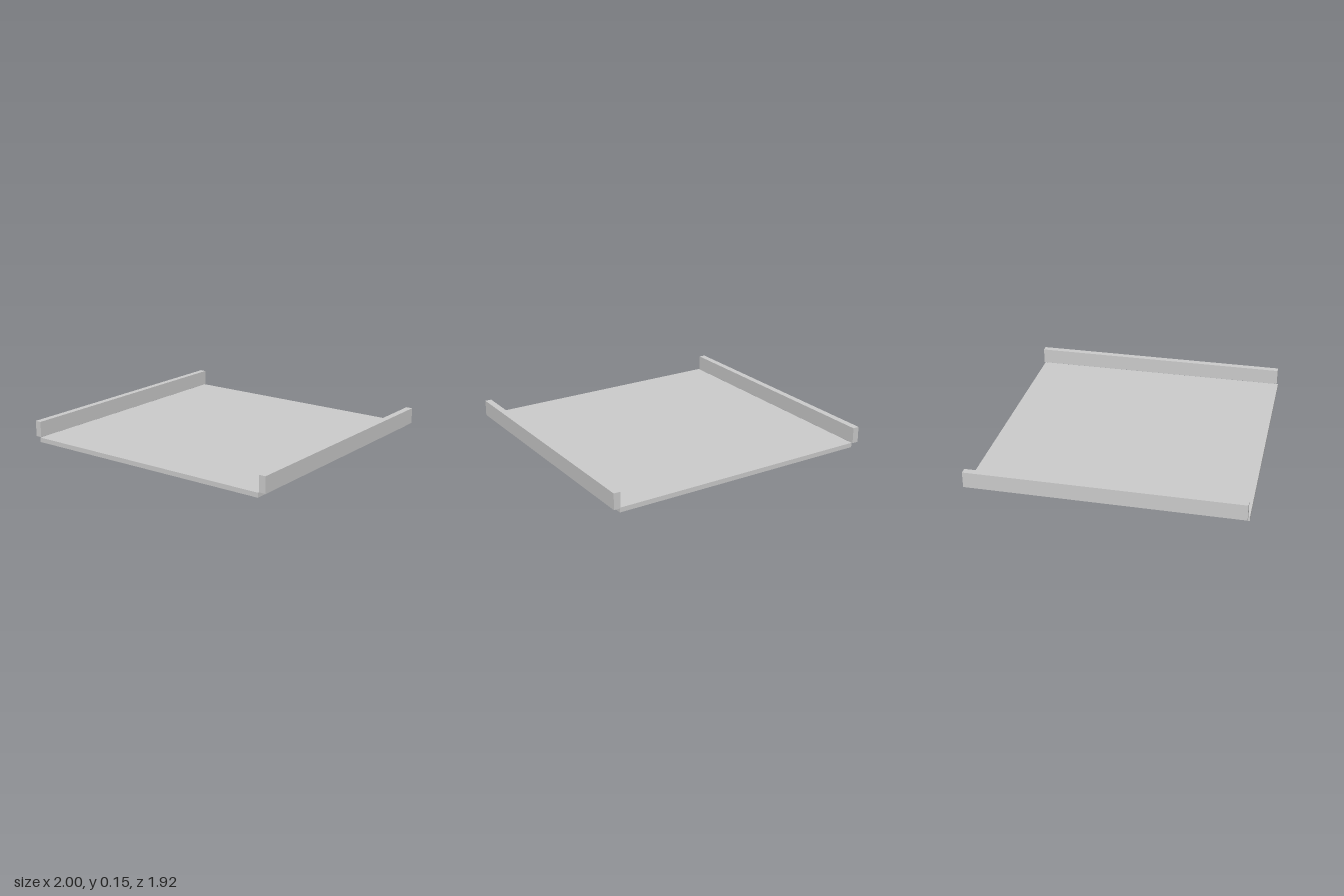
import * as THREE from 'three';

export function createModel() {
  const group = new THREE.Group();
  const material = new THREE.MeshStandardMaterial({ color: 0xcccccc, flatShading: true });

  const addBox = (name, size, position) => {
    const mesh = new THREE.Mesh(new THREE.BoxGeometry(...size), material);
    mesh.name = name;
    mesh.position.set(...position);
    group.add(mesh);
  };

  const plateThickness = 0.033;
  const railHeight = 0.114;
  const railWidth = 0.047;
  const depth = 1.912;
  const shift = 0.005; // plate sits slightly forward, rails slightly back

  // Flat base plate
  addBox('basePlate', [1.904, plateThickness, depth], [0, plateThickness / 2, shift]);

  // Raised rails along both sides, resting just outside the plate's top edges
  for (const [name, side] of [['leftRail', 1], ['rightRail', -1]]) {
    addBox(name, [railWidth, railHeight, depth],
      [side * (1 - railWidth / 2), plateThickness + railHeight / 2, -shift]);
  }

  return group;
}
